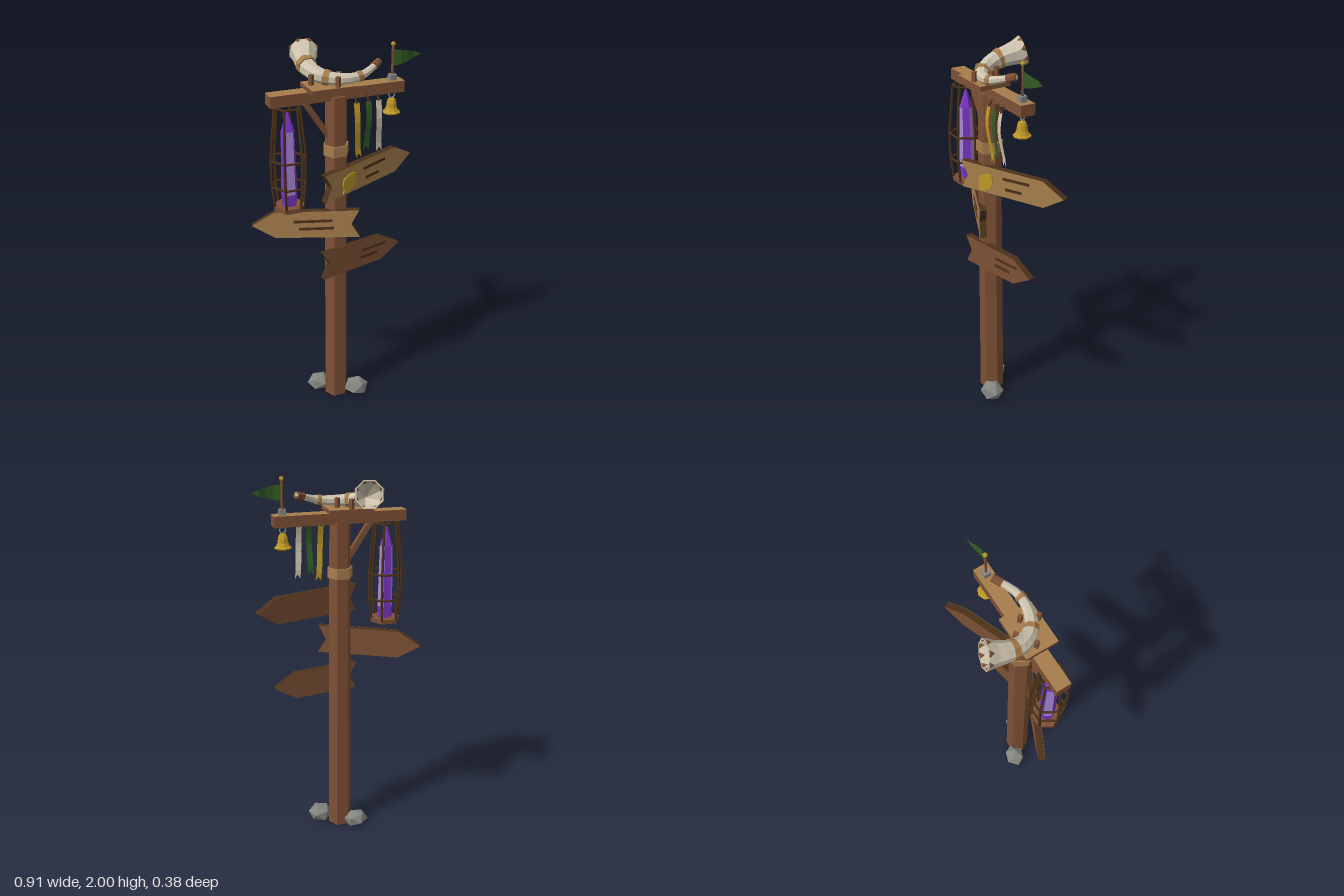
import * as THREE from 'three';

const V = (x, y, z) => new THREE.Vector3(x, y, z);
const mat = (name, color) => {
  const m = new THREE.MeshStandardMaterial({ color, flatShading: true, side: THREE.DoubleSide });
  m.name = name;
  return m;
};

export function createModel() {
  const root = new THREE.Group();
  root.name = 'signpost';
  const brown = mat('brownWood', 0x7d5034), tan = mat('tanWood', 0xa67d4c), dark = mat('darkWood', 0x4b3119);
  const cream = mat('cream', 0xcdc3ae), purple = mat('purpleCrystal', 0x7a36c4), lilac = mat('paleCrystal', 0xa788d4);
  const gold = mat('gold', 0xbd9826), green = mat('greenCloth', 0x315a24), grey = mat('greyStone', 0x858581);

  const add = (name, geo, material, x = 0, y = 0, z = 0, parent = root) => {
    const m = new THREE.Mesh(geo, material);
    m.name = name;
    m.position.set(x, y, z);
    parent.add(m);
    return m;
  };
  const box = (w, h, d) => new THREE.BoxGeometry(w, h, d);
  // hexagonal prism with corners on the x axis
  const hex = (rTop, rBot, h) => new THREE.CylinderGeometry(rTop, rBot, h, 6, 1, false, Math.PI / 6);
  const bar = (name, a, b, r, material, sides = 5, parent = root) => {
    const m = add(name, new THREE.CylinderGeometry(r, r, a.distanceTo(b), sides), material, 0, 0, 0, parent);
    m.position.copy(a).add(b).multiplyScalar(0.5);
    m.quaternion.setFromUnitVectors(V(0, 1, 0), b.clone().sub(a).normalize());
  };
  const poly = (pts) => new THREE.Shape(pts.map(([x, y]) => new THREE.Vector2(x, y)));
  const topTan = [brown, brown, tan, brown, brown, brown];

  // Post, crossbeam, platform and brace
  add('post', hex(0.057, 0.066, 1.77), brown, -0.035, 0.885, 0.078);
  add('postBand', hex(0.068, 0.068, 0.055), tan, -0.035, 1.493, 0.078);
  add('crossbeam', box(0.697, 0.057, 0.077), topTan, -0.031, 1.78, 0.072);
  add('platform', box(0.228, 0.022, 0.168), topTan, -0.076, 1.819, 0.083);
  add('brace', box(0.028, 0.22, 0.03), brown, -0.135, 1.655, 0.075).rotation.z = 0.58;
  for (const [x, z] of [[-0.16, 0.07], [-0.077, 0.013], [-0.018, 0.073], [-0.053, 0.15]]) {
    add('hornPeg', box(0.02, 0.05, 0.02), brown, x, 1.855, z).rotation.y = 0.6;
  }

  // Arrow signs: dir is +1 for an arrow towards +x, -1 for the other way
  function sign(name, pos, yaw, tilt, len, h, dir, face, grooves) {
    const g = new THREE.Group();
    g.name = name;
    g.position.set(...pos);
    g.rotation.set(0, yaw, tilt);
    root.add(g);
    const a = len / 2, b = h / 2;
    const shape = poly([[-a, -b], [a - 0.12, -b + 0.003], [a, 0], [a - 0.12, b - 0.003], [-a, b], [-a + 0.042, 0]]
      .map(([x, y]) => [x * dir, y]));
    add('board', new THREE.ExtrudeGeometry(shape, { depth: 0.034, bevelEnabled: false }), [brown, dark], 0, 0, -0.017, g);
    add('boardFace', new THREE.ShapeGeometry(shape), face, 0, 0, 0.0185, g);
    for (const [x, y, w] of grooves) add('groove', box(w, 0.014, 0.006), dark, x, y, 0.019, g).rotation.z = 0.02;
    return g;
  }
  const upper = sign('upperSign', [0.15, 1.337, 0.052], 0.395, 0.035, 0.63, 0.145, 1, tan,
    [[0.033, 0.03, 0.16], [0.016, -0.025, 0.1]]);
  sign('middleSign', [-0.196, 1.096, 0.06], -0.41, 0.035, 0.555, 0.152, -1, tan,
    [[0.04, 0.02, 0.2], [0.055, -0.022, 0.18]]);
  sign('lowerSign', [0.097, 0.884, 0.1], 0.21, 0.015, 0.487, 0.15, 1, brown,
    [[0.07, 0.026, 0.16], [0.04, -0.016, 0.11]]);
  const leaf = poly([[-0.045, -0.05], [-0.012, -0.046], [0.03, -0.03], [0.046, 0.005], [0.04, 0.045],
    [0.005, 0.046], [-0.035, 0.03], [-0.047, -0.005], [-0.038, -0.028]]);
  add('leafEmblem', new THREE.ExtrudeGeometry(leaf, { depth: 0.007, bevelEnabled: false }), gold, -0.155, -0.012, 0.018, upper);

  // Crystal lantern
  const lantern = new THREE.Group();
  lantern.name = 'lantern';
  lantern.position.set(-0.286, 0, 0.075);
  root.add(lantern);
  const levels = [[1.74, 0.066], [1.475, 0.091], [1.335, 0.088], [1.22, 0.075]];
  const corner = (l, i) => V(levels[l][1] * Math.cos(i * Math.PI / 3), levels[l][0], levels[l][1] * Math.sin(i * Math.PI / 3));
  for (let i = 0; i < 6; i++) {
    for (let l = 0; l < 3; l++) {
      bar('cageRod', corner(l, i), corner(l + 1, i), 0.007, dark, 5, lantern);
      bar('cageRing', corner(l, i), corner(l, i + 1), 0.006, dark, 5, lantern);
    }
    // Crystal sides alternate between the two tones
    add('crystalSide', new THREE.CylinderGeometry(0.035, 0.042, 0.33, 1, 1, true, Math.PI / 6 + i * Math.PI / 3, Math.PI / 3),
      i % 2 ? lilac : purple, 0, 1.455, 0, lantern);
  }
  add('lanternBase', hex(0.082, 0.08, 0.024), brown, 0, 1.217, 0, lantern);
  add('crystalBase', hex(0.042, 0.038, 0.062), purple, 0, 1.259, 0, lantern);
  add('crystalTip', hex(0.003, 0.035, 0.1), purple, 0, 1.67, 0, lantern);

  // Hanging ribbons with swallow tails
  for (const [x, len, material, lean] of [[0.052, 0.295, gold, 0.02], [0.115, 0.26, green, -0.005], [0.168, 0.275, cream, 0.015]]) {
    const w = 0.015, rows = 6, pos = [], idx = [];
    for (let r = 0; r <= rows; r++) {
      const t = r / rows, bend = 0.012 * Math.sin(t * 5), cx = lean * t * t;
      for (let c = -1; c <= 1; c++) pos.push(cx + c * w, -len * t + (r === rows && c === 0 ? 0.025 : 0), bend);
      if (r) for (let c = 0; c < 2; c++) {
        const k = r * 3 + c;
        idx.push(k - 3, k, k + 1, k - 3, k + 1, k - 2);
      }
    }
    const geo = new THREE.BufferGeometry();
    geo.setAttribute('position', new THREE.Float32BufferAttribute(pos, 3));
    geo.setIndex(idx);
    geo.computeVertexNormals();
    add('ribbon', geo, material, x, 1.735, 0.13);
    bar('ribbonPin', V(x, 1.765, 0.105), V(x, 1.73, 0.132), 0.005, dark);
  }

  // Bell
  const bx = 0.267, bz = 0.072;
  const bell = [[0.018, 0.06], [0.03, 0.006], [0.044, 0], [0.046, 0.006], [0.036, 0.014], [0.028, 0.03], [0.025, 0.055], [0.018, 0.073], [0.004, 0.078]];
  add('bell', new THREE.LatheGeometry(bell.map(([x, y]) => new THREE.Vector2(x, y)), 8), gold, bx, 1.638, bz);
  add('bellRing', new THREE.TorusGeometry(0.016, 0.004, 5, 8), grey, bx, 1.732, bz);
  bar('clapperRod', V(bx, 1.69, bz), V(bx, 1.635, bz), 0.005, dark);
  add('clapper', new THREE.IcosahedronGeometry(0.014, 0), dark, bx, 1.63, bz);

  // Flag
  add('flagBase', box(0.034, 0.03, 0.034), grey, bx, 1.822, bz);
  bar('flagPole', V(bx, 1.81, bz), V(bx, 1.98, bz), 0.007, brown, 6);
  add('flagFinial', new THREE.IcosahedronGeometry(0.013, 0), gold, bx, 1.987, bz);
  const flag = new THREE.PlaneGeometry(0.15, 0.08, 4, 1);
  const fp = flag.attributes.position;
  for (let i = 0; i < fp.count; i++) {
    const t = THREE.MathUtils.clamp(fp.getX(i) / 0.15 + 0.5, 0, 1);
    fp.setY(i, fp.getY(i) * (1 - 0.95 * t ** 1.6) + 0.004 * t);
    fp.setZ(i, 0.01 * Math.sin(t * 5.5));
  }
  flag.computeVertexNormals();
  add('flag', flag, green, bx + 0.078, 1.918, bz);

  // Curved horn: eight-sided sections swept from mouth to tip
  const path = [[-0.11, 1.93, -0.165, 0.074], [-0.125, 1.915, -0.115, 0.058], [-0.142, 1.895, -0.04, 0.046],
    [-0.13, 1.876, 0.03, 0.04], [-0.087, 1.863, 0.088, 0.034], [-0.02, 1.858, 0.122, 0.028],
    [0.066, 1.864, 0.13, 0.022], [0.13, 1.882, 0.105, 0.018], [0.196, 1.905, 0.062, 0.014]];
  const curve = new THREE.CatmullRomCurve3(path.map(([x, y, z]) => V(x, y, z)));
  // s runs 0..8 along the path, c is a corner number (fractions lie on the flat)
  const hornPoint = (s, c, grow) => {
    const t = curve.getTangent(s / 8), i = Math.min(7, Math.floor(s));
    const r = THREE.MathUtils.lerp(path[i][3], path[i + 1][3], s - i) + grow;
    const side = t.clone().cross(V(0, 1, 0)).normalize(), up = side.clone().cross(t);
    const at = (k) => {
      const a = (k + 0.5) * Math.PI / 4;
      return curve.getPoint(s / 8).addScaledVector(side, r * Math.cos(a)).addScaledVector(up, r * Math.sin(a));
    };
    return at(Math.floor(c)).lerp(at(Math.floor(c) + 1), c - Math.floor(c));
  };
  const fromPoints = (pts) => {
    const geo = new THREE.BufferGeometry().setFromPoints(pts);
    geo.computeVertexNormals();
    return geo;
  };
  // each station is [s, grow]
  const sweep = (stations) => {
    const pts = [];
    for (let k = 1; k < stations.length; k++) for (let c = 0; c < 8; c++) {
      const [a, b, d, e] = [[k - 1, c], [k - 1, c + 1], [k, c + 1], [k, c]].map(([n, q]) => hornPoint(stations[n][0], q, stations[n][1]));
      pts.push(a, b, d, a, d, e);
    }
    return fromPoints(pts);
  };
  const stations = [[2.4, -0.039], [1, -0.008], [0, -0.006]];
  for (let s = 0; s <= 8; s += 0.5) stations.push([s, 0]);
  stations.push([8, -0.013]);
  add('horn', sweep(stations), cream);
  for (const [s0, s1, m] of [[1.85, 2.2, tan], [3.85, 4.2, tan], [5.85, 6.15, tan], [7.4, 8, brown]]) {
    add('hornBand', sweep([[s0, -0.003], [s0, 0.005], [s1, 0.005], [s1, -0.01]]), m);
  }
  // Pointed trim around the mouth, outside and inside
  const trim = [];
  for (let c = 0; c < 8; c++) for (const grow of [0.003, -0.009]) for (const d of [-0.32, 0.32]) {
    trim.push(hornPoint(0, c + d, grow), hornPoint(0, c, grow), hornPoint(0.45, c, grow));
  }
  add('hornTrim', fromPoints(trim), brown);

  // Rocks at the foot
  for (const [x, z, sx, sy, sz, turn] of [[0.068, 0.135, 0.07, 0.056, 0.065, 0.4], [-0.112, 0.012, 0.07, 0.05, 0.06, 1.3]]) {
    const geo = new THREE.IcosahedronGeometry(1, 0).rotateY(turn).rotateZ(turn * 0.5).scale(sx, sy, sz);
    const p = geo.attributes.position;
    for (let i = 0; i < p.count; i++) p.setY(i, Math.max(p.getY(i), -0.036));
    geo.computeVertexNormals();
    add('rock', geo, grey, x, 0.036, z);
  }
  return root;
}
